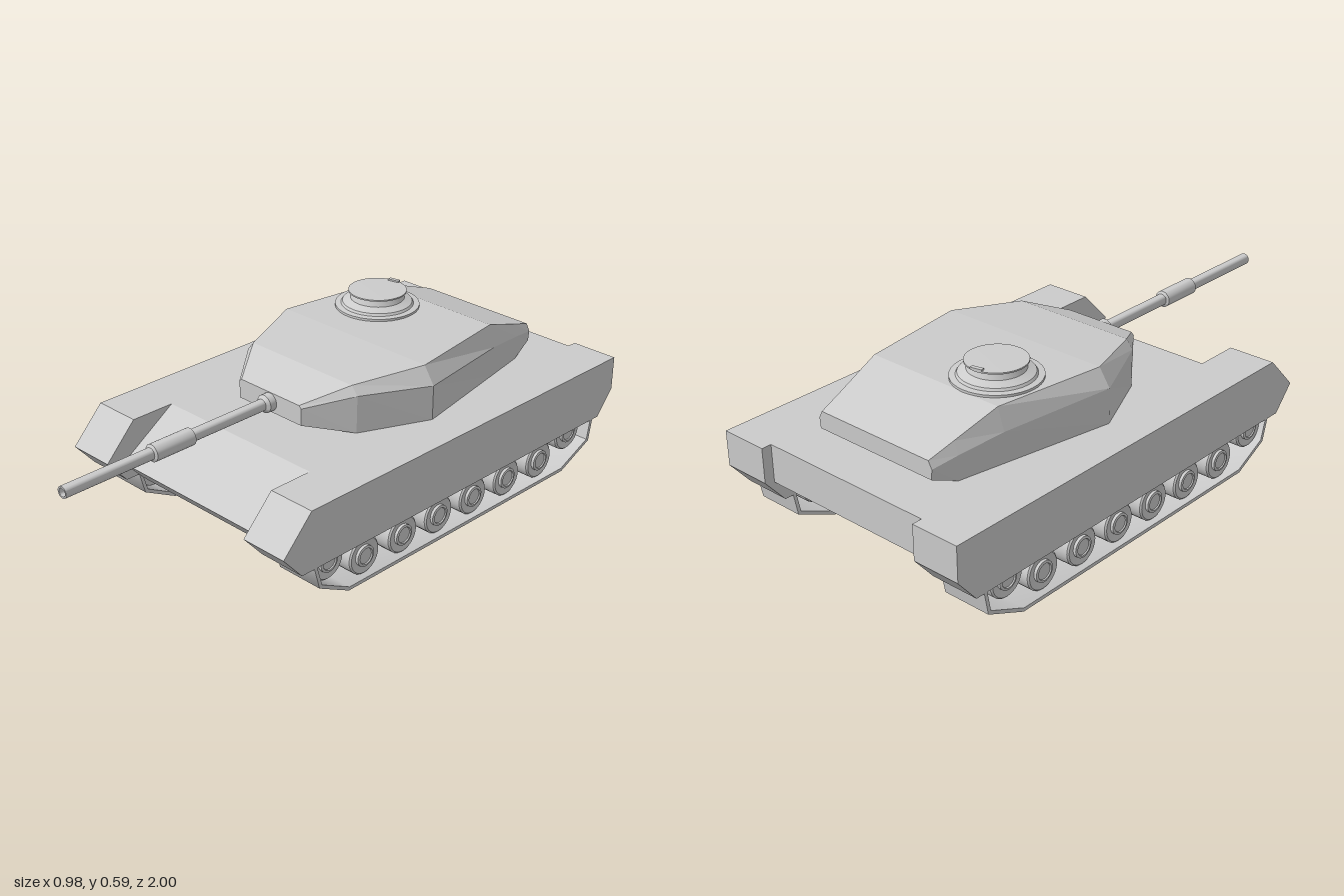
import * as THREE from 'three';
import { toCreasedNormals } from 'three/addons/utils/BufferGeometryUtils.js';

const flat = new THREE.MeshStandardMaterial({ color: 0xcccccc, flatShading: true });
const smooth = new THREE.MeshStandardMaterial({ color: 0xcccccc });

function add(parent, name, geometry, material = smooth) {
  const mesh = new THREE.Mesh(geometry, material);
  mesh.name = name;
  parent.add(mesh);
  return mesh;
}

// Side profile given as [z, y] points, extruded from x0 to x1
function sideExtrude(points, x0, x1) {
  const shape = new THREE.Shape(points.map(([z, y]) => new THREE.Vector2(z, y)));
  const g = new THREE.ExtrudeGeometry(shape, { depth: x1 - x0, bevelEnabled: false });
  return g.rotateY(-Math.PI / 2).translate(x1, 0, 0);
}

// Turned part from [radius, height] points, keeping sharp edges
function turned(points, segments) {
  const g = new THREE.LatheGeometry(points.map(([r, h]) => new THREE.Vector2(r, h)), segments);
  return toCreasedNormals(g, 0.6);
}

// Faceted loft through sections [z, bottomX, bottomY, sideX, sideY, topX, topY]
function loft(sections) {
  const pos = [], index = [], n = 6;
  for (const [z, bx, by, sx, sy, tx, ty] of sections) {
    pos.push(bx, by, z, sx, sy, z, tx, ty, z, -tx, ty, z, -sx, sy, z, -bx, by, z);
  }
  const last = (sections.length - 1) * n;
  for (let i = 0; i < last; i += n) {
    for (let j = 0; j < n; j++) {
      const k = (j + 1) % n;
      index.push(i + j, i + k, i + n + k, i + j, i + n + k, i + n + j);
    }
  }
  for (let j = 1; j < n - 1; j++) {
    index.push(0, j + 1, j, last, last + j, last + j + 1);
  }
  const g = new THREE.BufferGeometry();
  g.setAttribute('position', new THREE.Float32BufferAttribute(pos, 3));
  g.setIndex(index);
  g.computeVertexNormals();
  return g;
}

export function createModel() {
  const tank = new THREE.Group();
  tank.name = 'tank';

  // Hull between the tracks, with sloped bow and stern
  add(tank, 'hull', sideExtrude([
    [-0.965, 0.35], [-0.965, 0.22], [-0.85, 0.115], [0.44, 0.115], [0.53, 0.21], [0.32, 0.35],
  ], -0.32, 0.32), flat);

  // Shared geometry of the running gear
  const sponson = [
    [-1, 0.35], [-1, 0.23], [-0.93, 0.145], [0.52, 0.145], [0.595, 0.23], [0.48, 0.35],
  ];
  const belt = [
    [0.47, 0.15], [0.447, 0.068], [0.32, 0.002], [-0.74, 0.002], [-0.885, 0.068], [-0.9, 0.15],
    [-0.888, 0.15], [-0.874, 0.076], [-0.737, 0.014], [0.317, 0.014], [0.436, 0.076], [0.458, 0.15],
  ];
  const wheelGeometry = turned([
    [0, -0.065], [0.062, -0.065], [0.065, -0.06], [0.065, 0.06], [0.06, 0.065], [0.036, 0.06],
    [0.036, 0.07], [0.028, 0.072], [0.026, 0.068], [0, 0.068],
  ], 28);
  const wheels = [
    [0.39, 0.13], [0.23, 0.079], [0.055, 0.079], [-0.115, 0.079],
    [-0.285, 0.079], [-0.458, 0.079], [-0.632, 0.079], [-0.785, 0.13],
  ];

  for (const side of [1, -1]) {
    const name = side > 0 ? 'left' : 'right';
    const x0 = side > 0 ? 0.32 : -0.49, x1 = x0 + 0.17;
    add(tank, name + 'Sponson', sideExtrude(sponson, x0, x1), flat);
    add(tank, name + 'Track', toCreasedNormals(sideExtrude(belt, x0, x1), 0.9));
    for (const [z, y] of wheels) {
      const wheel = add(tank, name + 'RoadWheel', wheelGeometry);
      wheel.rotation.z = -side * Math.PI / 2;
      wheel.position.set(side * 0.405, y, z);
    }
  }

  // Turret, from rear to front
  const turret = new THREE.Group();
  turret.name = 'turret';
  tank.add(turret);
  add(turret, 'turretBody', loft([
    [-0.84, 0.235, 0.385, 0.238, 0.42, 0.225, 0.445],
    [-0.75, 0.252, 0.35, 0.255, 0.435, 0.237, 0.475],
    [-0.59, 0.282, 0.35, 0.284, 0.455, 0.26, 0.53],
    [-0.2, 0.355, 0.35, 0.355, 0.47, 0.315, 0.53],
    [0.04, 0.248, 0.35, 0.25, 0.48, 0.225, 0.51],
    [0.18, 0.14, 0.388, 0.142, 0.447, 0.132, 0.456],
  ]), flat);

  // Commander's cupola with stepped base and hatch lid
  const cupola = add(turret, 'cupola', turned([
    [0, -0.01], [0.145, -0.01], [0.145, 0.008], [0.125, 0.01], [0.12, 0.018], [0.103, 0.025],
    [0.093, 0.03], [0.085, 0.052], [0.1, 0.053], [0.1, 0.058], [0, 0.059],
  ], 40));
  cupola.position.set(-0.122, 0.53, -0.447);
  const handle = add(turret, 'hatchHandle', new THREE.BoxGeometry(0.04, 0.008, 0.014));
  handle.position.set(-0.13, 0.59, -0.54);
  handle.rotation.y = 0.2;

  // Gun: mount collar, barrel, sleeve and bored muzzle, turned along z
  const gun = add(turret, 'gunBarrel', turned([
    [0, 0.15], [0.031, 0.15], [0.031, 0.205], [0.02, 0.215], [0.02, 0.51], [0.029, 0.515],
    [0.029, 0.667], [0.02, 0.672], [0.02, 1], [0.014, 1], [0.014, 0.96], [0, 0.96],
  ], 24));
  gun.rotation.x = Math.PI / 2;
  gun.position.y = 0.423;

  return tank;
}
